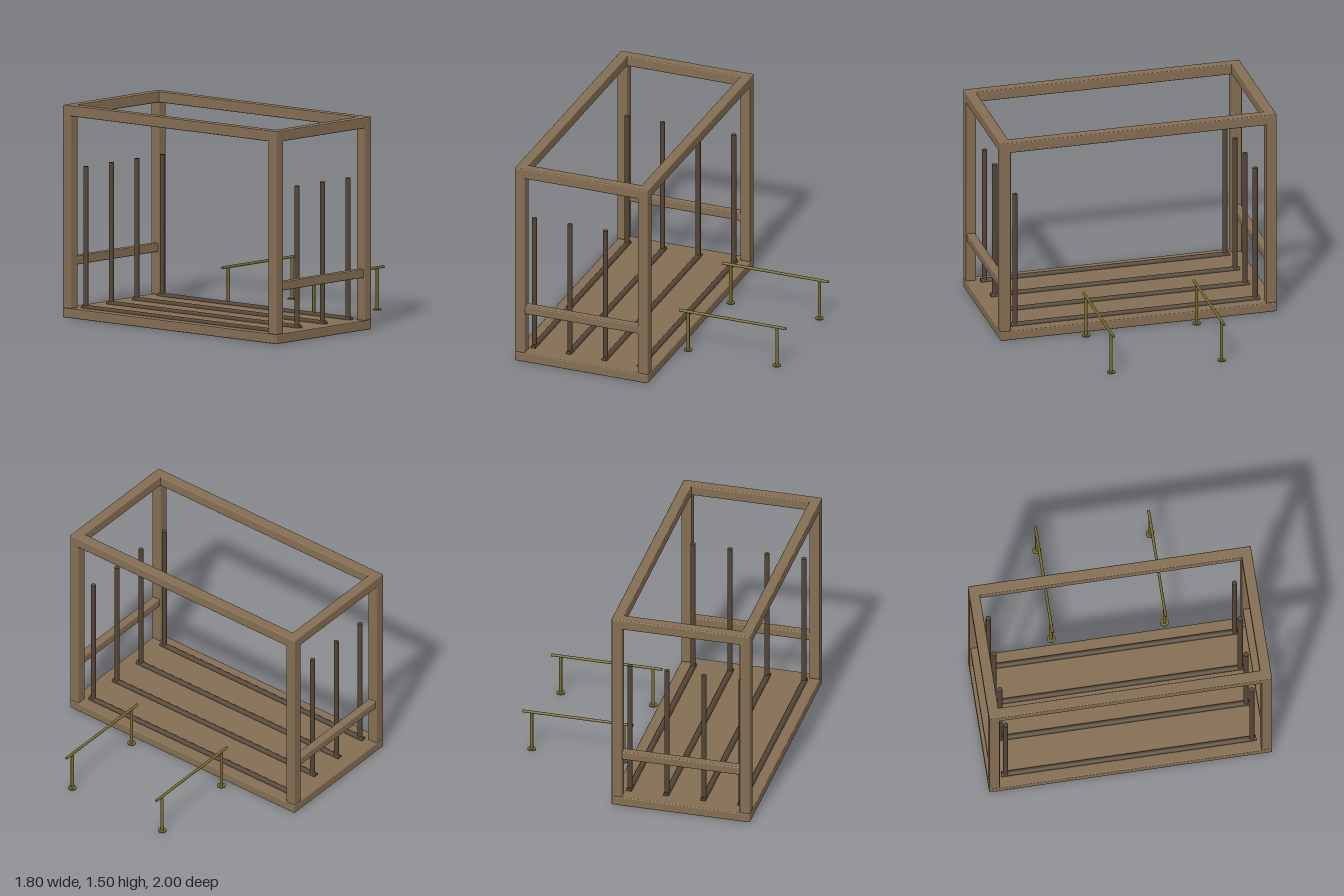
import * as THREE from 'three';
import { RoundedBoxGeometry } from 'three/addons/geometries/RoundedBoxGeometry.js';

export function createModel() {
  const model = new THREE.Group();
  model.name = 'openFrameWithRails';
  const material = (name, color) => {
    const m = new THREE.MeshStandardMaterial({ color });
    m.name = name;
    return m;
  };
  const timber = material('timber brown', 0x846e53);
  const darkWood = material('dark brown', 0x544536);
  const brass = material('dull brass', 0x756b30);

  const add = (name, geometry, mat, x, y, z) => {
    const mesh = new THREE.Mesh(geometry, mat);
    mesh.name = name;
    mesh.position.set(x, y, z);
    model.add(mesh);
    return mesh;
  };
  const beam = (name, w, h, d, x, y, z) =>
    add(name, new RoundedBoxGeometry(w, h, d, 2, 0.007), timber, x, y, z);
  const rod = (name, radius, length, mat, x, y, z) =>
    add(name, new THREE.CylinderGeometry(radius, radius, length, 16), mat, x, y, z);

  const cx = -0.4; // centre of the timber frame
  const t = 0.075; // timber thickness

  // Floor slab
  beam('floorSlab', 1, 0.067, 2, cx, 0.0335, 0);

  // Corner posts and long top beams
  for (const sx of [-1, 1]) {
    const x = cx + sx * (0.5 - t / 2);
    beam('topSideBeam', t, t, 2, x, 1.4625, 0);
    for (const sz of [-1, 1]) beam('cornerPost', t, 1.37, t, x, 0.752, sz * (1 - t / 2));
  }

  // Top end beams and lower cross rails
  for (const sz of [-1, 1]) {
    beam('topEndBeam', 1, t, t, cx, 1.4625, sz * (1 - t / 2));
    beam('crossRail', 0.86, 0.06, 0.06, cx, 0.4, sz * (1 - t / 2));
  }

  // Floor runners, each with an upright at both ends
  for (let i = 0; i < 4; i++) {
    const x = -0.803 + i * 0.2675;
    rod('floorRunner', 0.02, 1.8, darkWood, x, 0.07, 0).rotation.x = Math.PI / 2;
    for (const sz of [-1, 1]) rod('upright', 0.018, 1.0, darkWood, x, 0.567, sz * 0.87);
  }

  // Side handrails on footed legs
  for (const z of [-0.4, 0.4]) {
    rod('handrail', 0.01, 0.8, brass, 0.5, 0.3, z).rotation.z = Math.PI / 2;
    for (const x of [0.165, 0.832]) {
      rod('handrailLeg', 0.011, 0.295, brass, x, 0.1475, z);
      rod('handrailFoot', 0.03, 0.008, brass, x, 0.004, z);
    }
  }
  return model;
}
